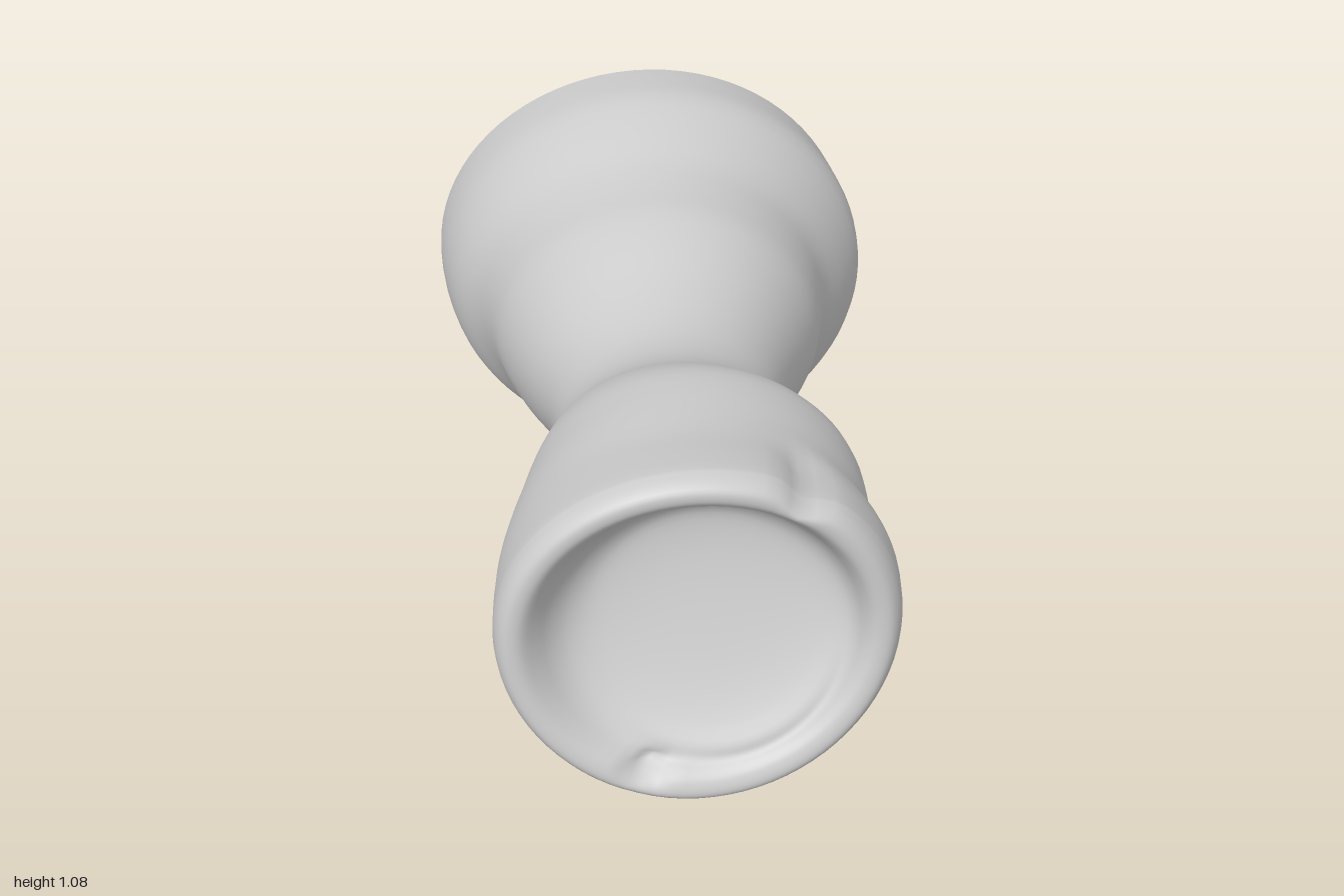
import * as THREE from 'three';

const SEG = 80;

// Outline of the body along its length: z, xMin, xMax, yMin, yMax
const STATIONS = [
  [-0.97, -0.53, 0.505, 0.0, 0.955], [-0.90, -0.525, 0.515, 0.015, 0.965],
  [-0.80, -0.51, 0.525, 0.025, 0.975], [-0.70, -0.48, 0.485, 0.055, 0.95],
  [-0.60, -0.425, 0.43, 0.12, 0.918], [-0.50, -0.39, 0.412, 0.175, 0.905],
  [-0.40, -0.365, 0.395, 0.205, 0.90], [-0.30, -0.33, 0.36, 0.24, 0.876],
  [-0.20, -0.29, 0.325, 0.29, 0.845], [-0.10, -0.25, 0.30, 0.335, 0.823],
  [0.00, -0.225, 0.29, 0.37, 0.817], [0.10, -0.215, 0.295, 0.388, 0.835],
  [0.20, -0.225, 0.325, 0.388, 0.88], [0.30, -0.255, 0.378, 0.36, 0.945],
  [0.40, -0.28, 0.435, 0.312, 0.997], [0.50, -0.30, 0.447, 0.29, 1.017],
  [0.60, -0.318, 0.45, 0.303, 1.028], [0.70, -0.33, 0.473, 0.325, 1.04],
  [0.80, -0.335, 0.484, 0.325, 1.06], [0.90, -0.335, 0.482, 0.33, 1.08],
];

// Rolled lip and hollow: scale of the front outline, z
const CUP = [
  [1, 0.90], [0.985, 0.93], [0.95, 0.952], [0.9, 0.958], [0.85, 0.952], [0.8, 0.93],
  [0.75, 0.9], [0.69, 0.875], [0.6, 0.857], [0.45, 0.846], [0.25, 0.841], [0, 0.84],
];

const smooth = THREE.MathUtils.smoothstep;
const bump = (d, width) => Math.exp(-((d / width) ** 2));

// Skin between rings of points; ringPoint(i, angle) returns [x, y, z]
function loft(name, rings, ringPoint) {
  const pos = [], index = [];
  for (let i = 0; i < rings; i++) {
    for (let j = 0; j < SEG; j++) {
      pos.push(...ringPoint(i, (j / SEG) * Math.PI * 2));
      if (i === rings - 1) continue;
      const k = (j + 1) % SEG;
      const a = i * SEG + j, b = i * SEG + k;
      index.push(a, b, b + SEG, a, b + SEG, a + SEG);
    }
  }
  const geo = new THREE.BufferGeometry();
  geo.setAttribute('position', new THREE.Float32BufferAttribute(pos, 3));
  geo.setIndex(index);
  geo.computeVertexNormals();
  const mesh = new THREE.Mesh(geo, new THREE.MeshStandardMaterial({ color: 0xcccccc }));
  mesh.name = name;
  return mesh;
}

const backTilt = (x, y) => -0.058 * (y - 0.475) - 0.02 * x;
// The front rim leans back and sags in the middle
const frontTilt = (x, y) => -0.11 * (y - 0.7) + 0.25 * (y - 0.7) ** 2 - 0.025 - 0.06 * (x - 0.07);

// Cross-section; the flared half is slightly fuller on its left
function ellipse([z, x0, x1, y0, y1], angle, scale = 1) {
  const fuller = 0.015 * (1 - smooth(z, -0.4, 0)) * Math.sin(angle) ** 2;
  return [
    (x0 + x1) / 2 + (((x1 - x0) / 2) * Math.cos(angle) + fuller) * scale,
    (y0 + y1) / 2 + ((y1 - y0) / 2) * scale * Math.sin(angle),
  ];
}

// Dent running along the upper left of the front bulge
const groove = (angle, z) => 1 - 0.075 * bump(angle - 1.02, 0.11) * smooth(z, 0.62, 0.8);

export function createModel() {
  const group = new THREE.Group();
  group.name = 'flaredCup';

  // Smooth curves through the stations, then the lip and hollow
  const curve = (a, b) => new THREE.CatmullRomCurve3(
    STATIONS.map((s) => new THREE.Vector3(s[0], s[a], s[b])), false, 'catmullrom');
  const xs = curve(1, 2), ys = curve(3, 4);
  const steps = (STATIONS.length - 1) * 3;
  const sections = [];
  for (let i = 0; i <= steps; i++) {
    const p = xs.getPoint(i / steps), q = ys.getPoint(i / steps);
    sections.push([p.x, p.y, p.z, q.y, q.z]);
  }
  const front = STATIONS[STATIONS.length - 1];
  const cupCurve = new THREE.CatmullRomCurve3(CUP.map(([s, z]) => new THREE.Vector3(s, z, 0)));
  const cupSteps = 36;

  group.add(loft('body', sections.length + cupSteps, (i, angle) => {
    if (i < sections.length) {
      const s = sections[i], z = s[0];
      const [x, y] = ellipse(s, angle, groove(angle, z));
      const back = 1 - smooth(z, -0.97, -0.5);
      return [x, y, z + back * backTilt(x, y) + smooth(z, 0.6, 0.9) * frontTilt(x, y)];
    }
    const c = cupCurve.getPoint((i - sections.length + 1) / cupSteps);
    const dent = (1 - groove(angle, 1)) * smooth(c.x, 0.82, 1);
    let [x, y] = ellipse(front, angle, c.x * (1 - dent));
    // The hollow sits low, is deepest at the upper right and rises to the lower lip
    const depth = 1 - smooth(c.x, 0.6, 0.88);
    x += 0.025 * depth;
    y -= 0.03 * depth;
    let z = c.y + frontTilt(x, y) + depth * (0.08 * (x - 0.07) - 0.24 * (y - 0.7));
    // Nick in the lower rim
    z -= 0.04 * bump(angle - 4.38, 0.09) * bump(c.x - 0.82, 0.08);
    return [x, y, z];
  }));

  // Flat, slightly tilted back face
  group.add(loft('backFace', 2, (i, angle) => {
    const [x, y] = ellipse(STATIONS[0], angle, i);
    return [x, y, STATIONS[0][0] + backTilt(x, y)];
  }));

  return group;
}
